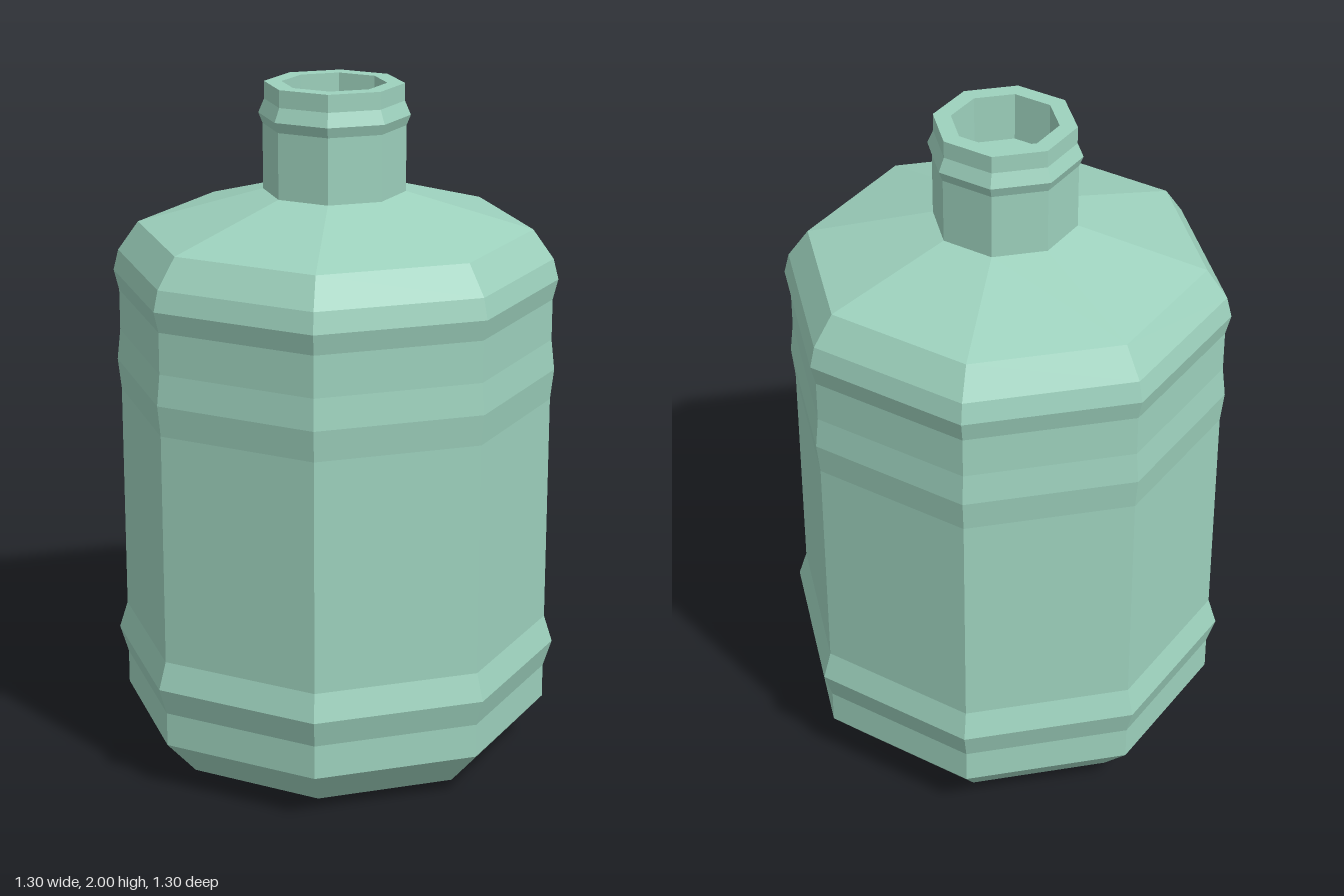
import * as THREE from 'three';

const SIDES = 8;
const TURN = 0.091; // slight twist of the octagon about the upright axis

export function createModel() {
  const group = new THREE.Group();
  group.name = 'bottle';
  const glass = new THREE.MeshStandardMaterial({ color: 0x9dd1bd, flatShading: true });
  glass.name = 'pale green glass';

  // Turns a [radius, height] profile, listed upwards on the outside
  function turned(name, profile) {
    const points = profile.map(([r, y]) => new THREE.Vector2(r, y));
    const mesh = new THREE.Mesh(new THREE.LatheGeometry(points, SIDES, TURN), glass);
    mesh.name = name;
    group.add(mesh);
  }

  // Chamfered foot with a shallow underside
  turned('base', [[0, 0], [0.37, 0.005], [0.53, 0.03], [0.63, 0.14]]);

  // Wall with a sharp lower ridge and two softer upper ridges
  turned('body', [
    [0.63, 0.14], [0.63, 0.24], [0.655, 0.32], [0.63, 0.4],
    [0.63, 1.08], [0.64, 1.17], [0.63, 1.26],
    [0.63, 1.38], [0.645, 1.44], [0.63, 1.5], [0.57, 1.585],
  ]);

  // Sloping shoulder
  turned('shoulder', [[0.57, 1.585], [0.205, 1.69]]);

  // Neck with a lip ring, flat rim and recessed mouth
  turned('neck', [
    [0.205, 1.69], [0.205, 1.88], [0.217, 1.91], [0.2, 1.95], [0.2, 2],
    [0.15, 2], [0.15, 1.86], [0, 1.86],
  ]);

  return group;
}
